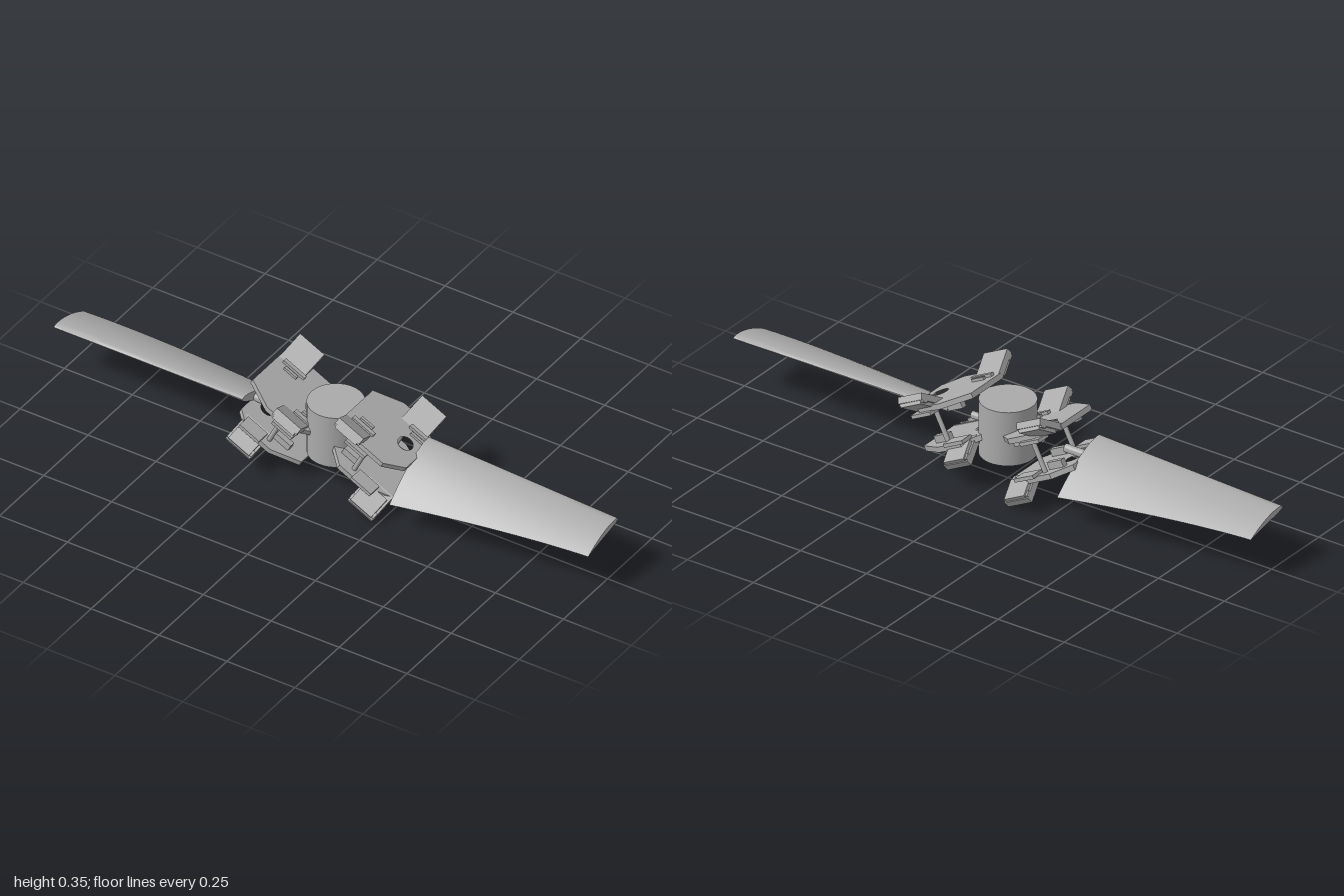
import * as THREE from 'three';
import { toCreasedNormals } from 'three/addons/utils/BufferGeometryUtils.js';

const grey = new THREE.MeshStandardMaterial({ color: 0xaaaaaa });
grey.name = 'plain grey';

function add(parent, name, geometry, x = 0, y = 0, z = 0) {
  const mesh = new THREE.Mesh(geometry, grey);
  mesh.name = name;
  mesh.position.set(x, y, z);
  parent.add(mesh);
  return mesh;
}
const box = (w, h, d) => new THREE.BoxGeometry(w, h, d);
const rod = (r, h, n = 16) => toCreasedNormals(new THREE.CylinderGeometry(r, r, h, n), 0.7);

// Twisted, tapered aerofoil lofted along +x
function bladeGeometry() {
  const rings = 20, half = 14, n = half * 2;
  const pos = [], idx = [];
  for (let i = 0; i <= rings; i++) {
    const u = i / rings, x = 0.295 + 0.705 * u;
    const lead = { z: -0.076 + 0.016 * u, y: 0.216 - 0.017 * u };
    const trail = { z: 0.152 - 0.042 * u, y: 0.156 - 0.059 * Math.pow(1 - u, 1.6) };
    const chord = Math.hypot(trail.z - lead.z, trail.y - lead.y);
    const nz = -(trail.y - lead.y) / chord, ny = (trail.z - lead.z) / chord;
    for (let k = 0; k < n; k++) {
      const t = (1 - Math.cos((Math.PI * 2 * k) / n)) / 2;
      const side = k <= half ? 1 : -1;
      const thick = chord * 0.6 * (0.2969 * Math.sqrt(t) - 0.126 * t - 0.3516 * t * t + 0.2843 * t ** 3 - 0.1036 * t ** 4);
      const off = side * thick + chord * 0.16 * t * (1 - t);
      pos.push(x, lead.y + (trail.y - lead.y) * t + ny * off, lead.z + (trail.z - lead.z) * t + nz * off);
    }
  }
  for (let i = 0; i < rings; i++) {
    for (let k = 0; k < n; k++) {
      const a = i * n + k, b = i * n + ((k + 1) % n);
      idx.push(a, b, b + n, a, b + n, a + n);
    }
  }
  // End caps, stitched across the section from upper to lower surface
  const end = rings * n;
  for (let k = 0; k < half; k++) {
    const a = k, b = k + 1, c = n - k - 1, d = (n - k) % n;
    idx.push(a, c, b, a, d, c);
    idx.push(end + a, end + b, end + c, end + a, end + c, end + d);
  }
  const g = new THREE.BufferGeometry();
  g.setAttribute('position', new THREE.Float32BufferAttribute(pos, 3));
  g.setIndex(idx);
  return toCreasedNormals(g, 0.7);
}

// Eight-sided grip plate with a round hole; long axis x, thickness y
function plateGeometry() {
  const s = new THREE.Shape();
  const outline = [[-0.135, 0.078], [-0.04, 0.125], [0.055, 0.125], [0.115, 0.075]];
  outline.forEach(([a, z], i) => (i ? s.lineTo(a, z) : s.moveTo(a, z)));
  outline.reverse().forEach(([a, z]) => s.lineTo(a, -z));
  s.closePath();
  const hole = new THREE.Path();
  hole.absarc(0.057, 0, 0.026, 0, Math.PI * 2, true);
  s.holes.push(hole);
  const g = new THREE.ExtrudeGeometry(s, { depth: 0.018, bevelEnabled: false, curveSegments: 20 });
  g.translate(0, 0, -0.009);
  g.rotateX(-Math.PI / 2);
  return toCreasedNormals(g, 0.6);
}

// Layered ear folded upward off the edge of a plate
function ear(parent, a, side) {
  const g = new THREE.Group();
  g.name = 'foldedEar';
  g.position.set(a, 0.068, side * 0.076);
  g.rotation.x = -side * 0.58;
  parent.add(g);
  add(g, 'earSlab', box(0.1, 0.022, 0.1), 0, 0, side * 0.046);
  add(g, 'earPad', box(0.085, 0.012, 0.075), 0, -0.017, side * 0.055);
  add(g, 'earRib', box(0.1, 0.008, 0.02), 0, -0.013, side * 0.08);
}

// One plate with its ears, brackets and bars
function gripHalf(m) {
  const g = new THREE.Group();
  g.name = 'gripHalf';
  add(g, 'gripPlate', plateGeometry(), 0, 0.068, 0);
  ear(g, -0.083, m);
  ear(g, 0.04, -m);
  for (const s of [1, -1]) {
    add(g, 'plateBar', box(0.085, 0.014, 0.014), -0.07 * s, 0.08, 0.066 * m * s);
    add(g, 'plateBarSmall', box(0.05, 0.012, 0.01), -0.07 * s, 0.08, 0.045 * m * s);
    add(g, 'innerBracket', box(0.06, 0.026, 0.02), 0.05 * s, 0.048, 0.07 * m * s);
    add(g, 'stepBlock', box(0.08, 0.012, 0.05), -0.04 * s, 0.055, 0.115 * m * s);
  }
  return g;
}

// Two facing halves joined by tie rods; m mirrors front to back
function grip(name, x, m) {
  const g = new THREE.Group();
  g.name = name;
  g.position.set(x, 0.18, 0);
  g.rotation.z = -0.47;
  const lower = gripHalf(m);
  lower.rotation.z = Math.PI;
  g.add(gripHalf(m), lower);
  for (const s of [1, -1]) add(g, 'tieRod', rod(0.008, 0.13), -0.015 * s, 0, 0.095 * s * m);
  return g;
}

export function createModel() {
  const model = new THREE.Group();
  model.name = 'rotor';
  add(model, 'hub', rod(0.091, 0.188, 48), 0, 0.189, 0);
  model.add(grip('leftGrip', 0.17, 1), grip('rightGrip', -0.17, -1));

  // Blades and their root pins, one turned half way round from the other
  const blade = bladeGeometry();
  for (const angle of [0, Math.PI]) {
    const arm = new THREE.Group();
    arm.name = 'bladeArm';
    arm.rotation.y = angle;
    add(arm, 'blade', blade);
    add(arm, 'rootPin', rod(0.014, 0.09), 0.265, 0.18, 0).rotation.z = Math.PI / 2;
    add(arm, 'hubPin', rod(0.012, 0.06), 0.105, 0.183, 0).rotation.z = Math.PI / 2;
    model.add(arm);
  }
  return model;
}
